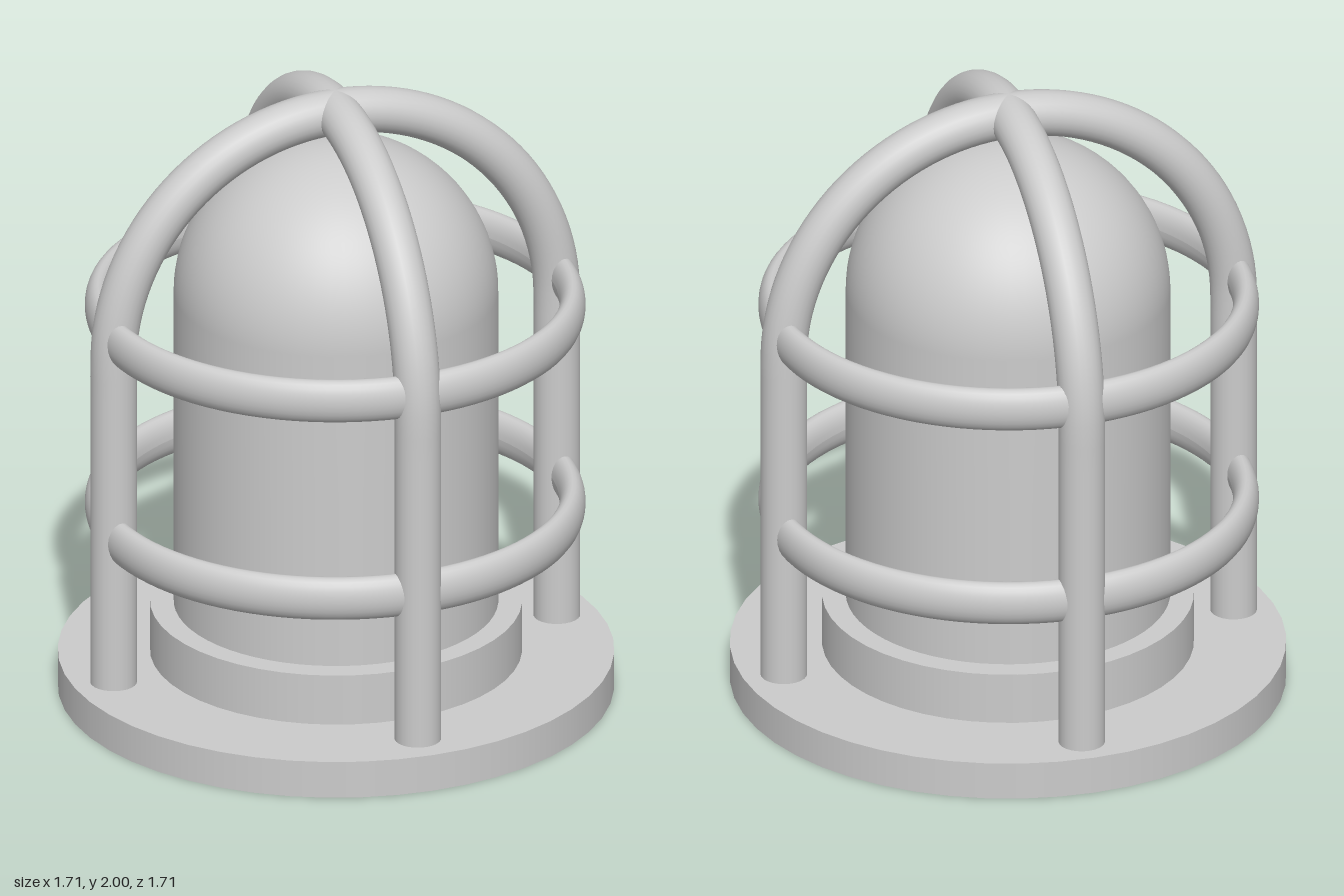
import * as THREE from 'three';

const material = new THREE.MeshStandardMaterial({ color: 0xcccccc });

function addPart(parent, name, geometry, y = 0) {
  const mesh = new THREE.Mesh(geometry, material);
  mesh.name = name;
  mesh.position.y = y;
  parent.add(mesh);
  return mesh;
}

// Centre line of a cage hoop: leg up, half circle over the top, leg down
function hoopPath(radius, footY, springY) {
  const points = [];
  for (let i = 0; i < 12; i++) {
    points.push(new THREE.Vector3(-radius, footY + (springY - footY) * i / 12, 0));
  }
  for (let i = 0; i <= 32; i++) {
    const a = Math.PI * (1 - i / 32);
    points.push(new THREE.Vector3(radius * Math.cos(a), springY + radius * Math.sin(a), 0));
  }
  for (let i = 11; i >= 0; i--) {
    points.push(new THREE.Vector3(radius, footY + (springY - footY) * i / 12, 0));
  }
  return new THREE.CatmullRomCurve3(points);
}

// Ring with an oval section, taller than it is wide
function ovalRing(radius, halfWidth, halfHeight) {
  const profile = [];
  for (let i = 0; i <= 24; i++) {
    const a = -Math.PI + (i / 24) * Math.PI * 2;
    profile.push(new THREE.Vector2(radius + halfWidth * Math.cos(a), halfHeight * Math.sin(a)));
  }
  return new THREE.LatheGeometry(profile, 96);
}

export function createModel() {
  const model = new THREE.Group();
  model.name = 'cagedLamp';

  // Mounting plate and collar
  addPart(model, 'basePlate', new THREE.CylinderGeometry(0.857, 0.857, 0.12, 48), 0.06);
  addPart(model, 'collar', new THREE.CylinderGeometry(0.573, 0.573, 0.165, 48), 0.2025);

  // Domed glass
  const glass = [new THREE.Vector2(0.5, 0.26), new THREE.Vector2(0.5, 0.8)];
  for (let i = 0; i <= 24; i++) {
    const a = (i / 24) * Math.PI / 2;
    glass.push(new THREE.Vector2(i === 24 ? 0 : 0.5 * Math.cos(a), 1.325 + 0.5 * Math.sin(a)));
  }
  addPart(model, 'glassDome', new THREE.LatheGeometry(glass, 64));

  // Guard cage: two crossed hoops and two level rings
  const cage = new THREE.Group();
  cage.name = 'guardCage';
  cage.position.z = -0.007;
  model.add(cage);
  const hoop = new THREE.TubeGeometry(hoopPath(0.728, 0.11, 1.2), 120, 0.072, 24, false);
  addPart(cage, 'sideHoop', hoop);
  addPart(cage, 'frontHoop', hoop).rotation.y = Math.PI / 2;
  const ring = ovalRing(0.731, 0.04, 0.07);
  addPart(cage, 'lowerRing', ring, 0.613);
  addPart(cage, 'upperRing', ring, 1.278);

  return model;
}
